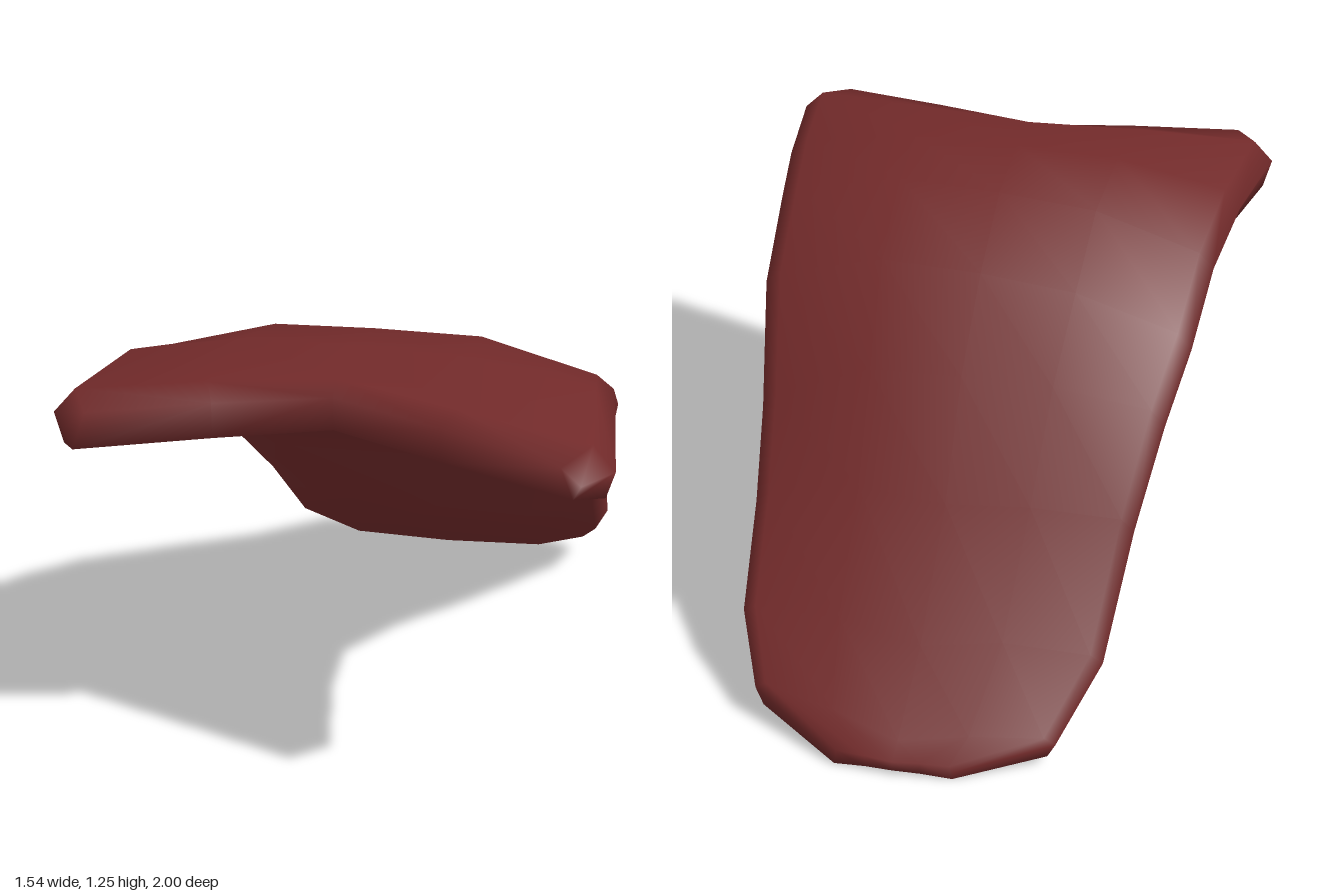
import * as THREE from 'three';

// Heights of the crown and of the lowest underside along z: [z, y]
const CROWN = [[-1, 0.06], [-0.73, 0.27], [-0.45, 0.58], [-0.21, 0.87], [0.03, 1.08], [0.29, 1.23], [0.57, 1.265], [0.74, 1.225], [0.93, 1.2], [1, 1.17]];
const BASE = [[-1, 0], [-0.74, 0.05], [-0.23, 0.41], [-0.06, 0.63], [0.24, 0.9], [0.4, 0.975], [0.85, 1.01], [1, 1.04]];

// Plan outline, front to back:
// z at right, centre, left; x at right, centre, left; end rounding;
// share of the full-bellied section; upward tilt of the right edge
const ROWS = [
  [0.88, 0.74, 0.995, -0.71, 0, 0.69, 0.75, 0, 0],
  [0.77, 0.69, 0.9, -0.77, 0, 0.77, 1, 0, 0],
  [0.45, 0.5, 0.55, -0.69, 0.01, 0.74, 1, 0.65, 0],
  [0.2, 0.27, 0.33, -0.63, 0.03, 0.72, 1, 0.95, 0.05],
  [-0.03, 0.03, 0.08, -0.59, 0.05, 0.72, 1, 1, 0.13],
  [-0.22, -0.21, -0.2, -0.535, 0.07, 0.68, 1, 1, 0.22],
  [-0.43, -0.45, -0.4, -0.475, 0.08, 0.665, 1, 1, 0.22],
  [-0.68, -0.73, -0.64, -0.42, 0.11, 0.66, 1, 1, 0.03],
  [-0.89, -0.95, -0.82, -0.31, 0.14, 0.59, 1, 0.5, 0],
  [-0.99, -1, -0.98, -0.03, 0.15, 0.33, 1, 0, 0],
];

// Cross-sections: [position across, height fraction between base and crown]
const ARCHED = [
  [-1, 0.5], [-0.92, 0.82], [-0.45, 0.94], [0, 0.98], [0.45, 0.94], [0.92, 0.84],
  [1, 0.5], [0.97, 0.08], [0.45, 0.3], [0, 0.42], [-0.45, 0.3], [-0.97, 0.08],
];
const BELLIED = [
  [-1, 0.56], [-0.93, 0.7], [-0.45, 0.99], [0, 1], [0.45, 0.98], [0.93, 0.68],
  [1, 0.56], [0.93, 0.28], [0.58, 0], [0, 0], [-0.58, 0], [-0.93, 0.28],
];

const { lerp } = THREE.MathUtils;

function sample(curve, z) {
  let i = 1;
  while (i < curve.length - 1 && curve[i][0] < z) i++;
  const [z0, y0] = curve[i - 1];
  const [z1, y1] = curve[i];
  return y0 + ((y1 - y0) * (z - z0)) / (z1 - z0);
}

function drapeGeometry() {
  const positions = [];
  const index = [];
  const n = ARCHED.length;

  for (const [zR, zC, zL, xR, xC, xL, round, belly, tilt] of ROWS) {
    for (let i = 0; i < n; i++) {
      const u = lerp(ARCHED[i][0], BELLIED[i][0], belly);
      const f = Math.min(1, lerp(ARCHED[i][1], BELLIED[i][1], belly) + tilt * Math.max(0, -u));
      const t = Math.abs(u);
      const x = lerp(xC, u < 0 ? xR : xL, t);
      const z = lerp(zC, u < 0 ? zR : zL, t);
      const h = lerp(0.55, f, round);
      positions.push(x, lerp(sample(BASE, z), sample(CROWN, z), h), z);
    }
  }

  // Skin between neighbouring sections
  for (let j = 0; j < ROWS.length - 1; j++) {
    for (let i = 0; i < n; i++) {
      const a = j * n + i;
      const b = j * n + ((i + 1) % n);
      index.push(a, b, a + n, b, b + n, a + n);
    }
  }

  // Front and back ends, closed by joining top points to bottom points
  const last = (ROWS.length - 1) * n;
  for (let i = 0; i < n / 2; i++) {
    const t0 = i, t1 = i + 1;
    const b0 = (n - i) % n, b1 = n - i - 1;
    for (const [p, q, r] of [[b0, b1, t1], [b0, t1, t0]]) {
      if (p === q || q === r || p === r) continue;
      index.push(p, q, r, last + p, last + r, last + q);
    }
  }

  const geometry = new THREE.BufferGeometry();
  geometry.setAttribute('position', new THREE.Float32BufferAttribute(positions, 3));
  geometry.setIndex(index);
  geometry.computeVertexNormals();
  return geometry;
}

export function createModel() {
  const group = new THREE.Group();
  group.name = 'drapedSlab';
  const darkRed = new THREE.MeshStandardMaterial({ color: 0x722a2a });
  darkRed.name = 'darkRed';
  const drape = new THREE.Mesh(drapeGeometry(), darkRed);
  drape.name = 'drape';
  group.add(drape);
  return group;
}
